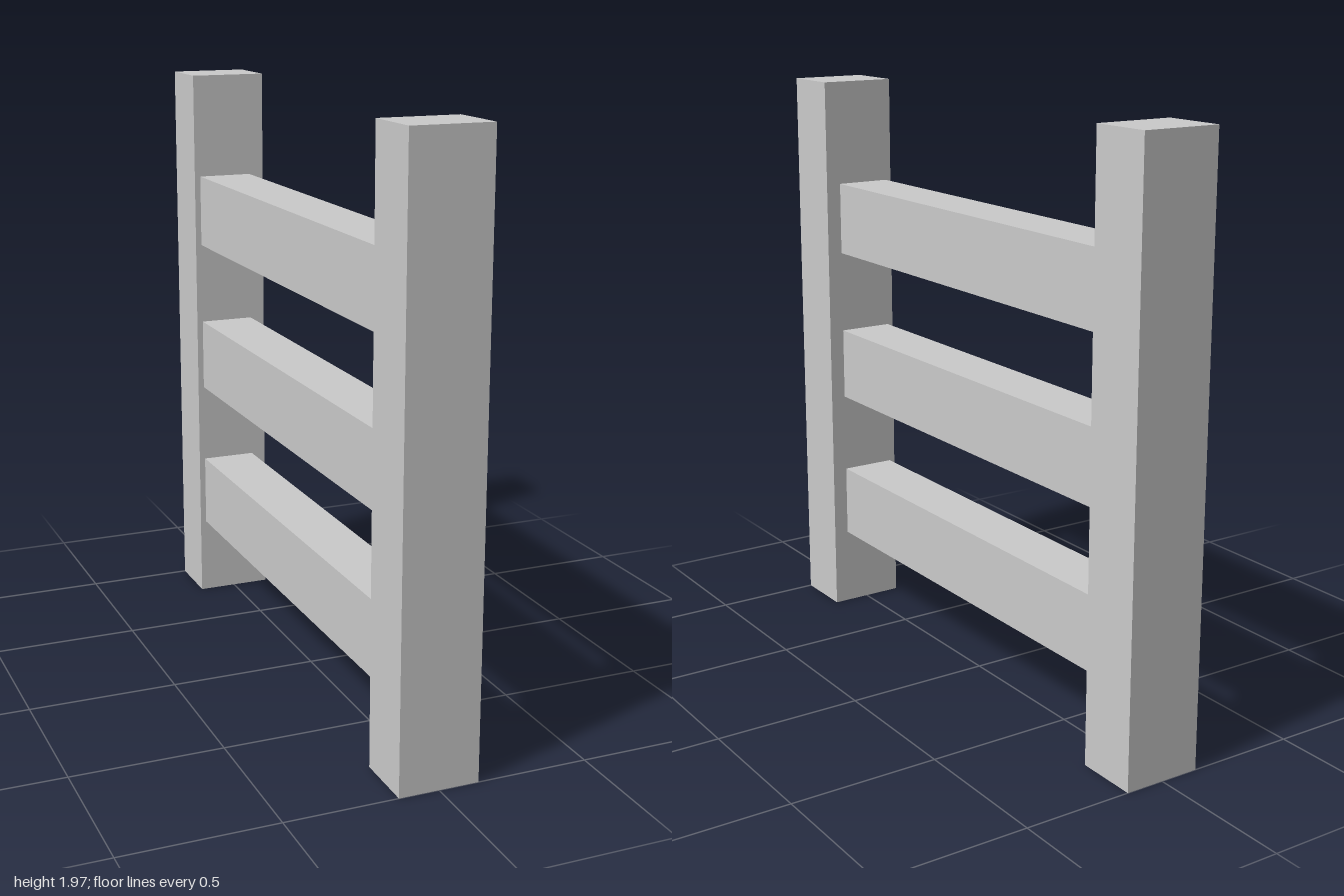
import * as THREE from 'three';

export function createModel() {
  const group = new THREE.Group();
  const material = new THREE.MeshStandardMaterial({ color: 0xcccccc, flatShading: true });

  function addBox(name, size, position) {
    const mesh = new THREE.Mesh(new THREE.BoxGeometry(...size), material);
    mesh.name = name;
    mesh.position.set(...position);
    group.add(mesh);
  }

  // Upright posts at both ends
  const postHeight = 1.97, postDepth = 0.212;
  for (const [name, side] of [['frontPost', 1], ['backPost', -1]]) {
    addBox(name, [0.264, postHeight, postDepth], [0, postHeight / 2, side * (1 - postDepth / 2)]);
  }

  // Three rails spanning between the posts, set slightly towards one face
  const railLength = 2 - 2 * postDepth;
  [['lowerRail', 0.403], ['middleRail', 0.938], ['upperRail', 1.48]].forEach(([name, y]) => {
    addBox(name, [0.19, 0.253, railLength], [-0.016, y, 0]);
  });

  return group;
}
